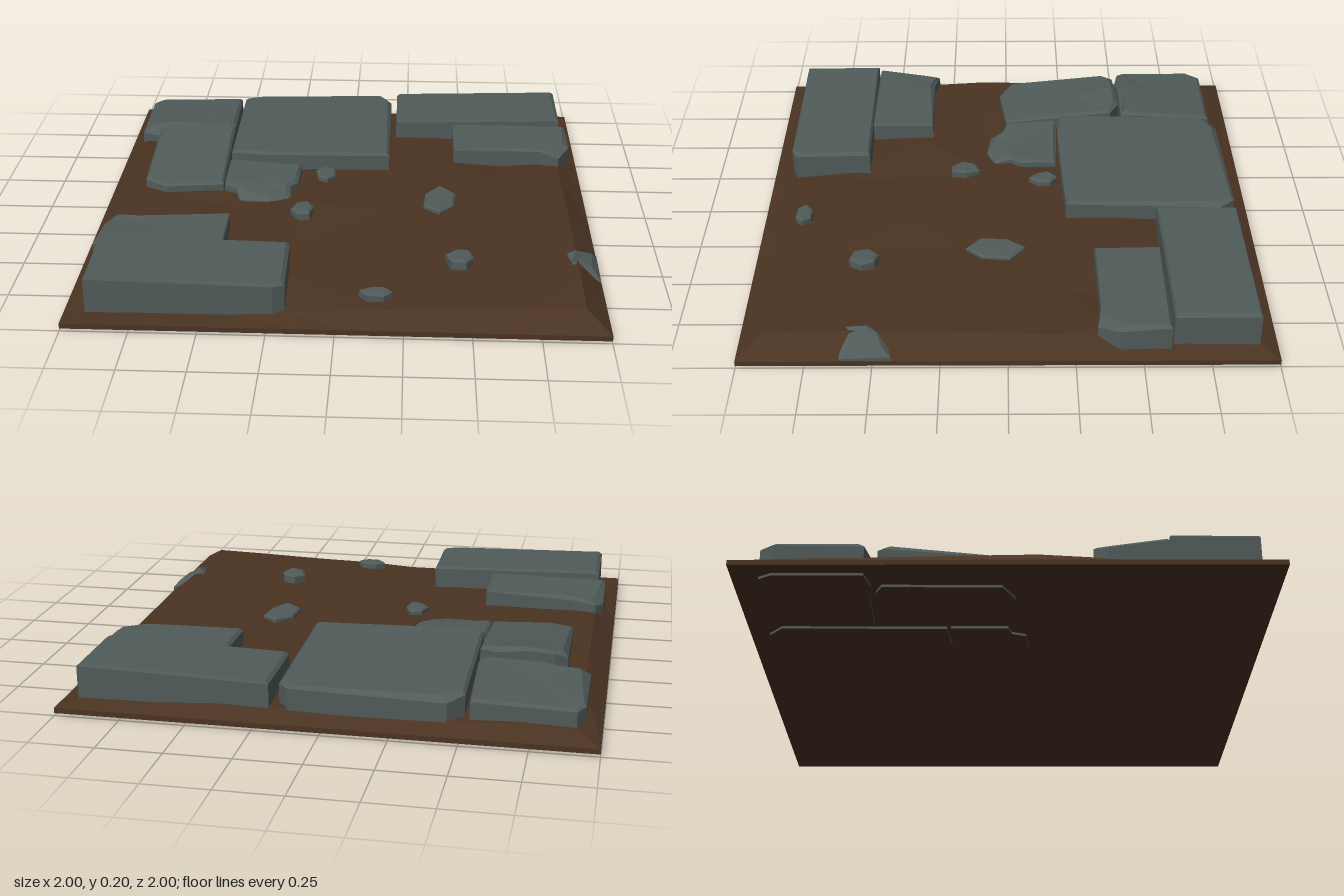
import * as THREE from 'three';

const stoneMat = new THREE.MeshStandardMaterial({ color: 0x505b59 });
stoneMat.name = 'slate grey';
const soilMat = new THREE.MeshStandardMaterial({ color: 0x4a3322 });
soilMat.name = 'brown earth';

// small seeded generator, 0..1
function seeded(seed) {
  let s = seed;
  return () => (s = (s * 16807) % 2147483647) / 2147483647;
}

// faceted mesh from a flat list of triangle corners
function facetMesh(name, corners, material) {
  const geo = new THREE.BufferGeometry().setFromPoints(corners);
  geo.computeVertexNormals();
  const mesh = new THREE.Mesh(geo, material);
  mesh.name = name;
  return mesh;
}

// Stone shell, open underneath: outline of [x, z, top, inset?] clockwise from above
function stone(name, outline, base, bevel = 0.012) {
  const n = outline.length;
  const cx = outline.reduce((a, p) => a + p[0], 0) / n;
  const cz = outline.reduce((a, p) => a + p[1], 0) / n;
  const ring = (level) => outline.map(([x, z, top, inset = bevel]) => {
    const d = Math.hypot(cx - x, cz - z);
    const k = level === 2 ? inset * 1.3 / d : 0;
    const y = level === 0 ? base : level === 1 ? top - inset * 0.9 : top;
    return new THREE.Vector3(x + (cx - x) * k, y, z + (cz - z) * k);
  });
  const rings = [ring(0), ring(1), ring(2)];
  const centre = new THREE.Vector3(cx, rings[2].reduce((a, p) => a + p.y, 0) / n, cz);
  const tris = [];
  for (let i = 0; i < n; i++) {
    const j = (i + 1) % n;
    for (let l = 0; l < 2; l++) {
      const a = rings[l], b = rings[l + 1];
      tris.push(a[i], b[i], b[j], a[i], b[j], a[j]);
    }
    tris.push(centre, rings[2][j], rings[2][i]);
  }
  return facetMesh(name, tris, stoneMat);
}

// Uneven earth: heights in hundredths on a coarse grid, thin flat rim at the edge
function earth() {
  const lines = [-1, -0.92, -0.65, -0.4, -0.15, 0.12, 0.38, 0.65, 0.91, 1];
  const heights = [
    [3, 3, 3, 3, 3, 3, 3, 3, 3, 3],
    [3, 6, 7, 6, 5, 6, 7, 6, 5, 3],
    [3, 8, 8, 8, 8, 8, 8, 7, 6, 3],
    [3, 8, 8, 8, 8, 9, 8, 7, 7, 3],
    [3, 9, 9, 9, 9, 9, 8, 8, 8, 3],
    [3, 9, 9, 8, 9, 8, 8, 9, 9.5, 3],
    [3, 8, 8, 8, 7, 8, 7, 8, 9.5, 3],
    [3, 6, 7, 7, 7, 8, 7.5, 8, 10, 3],
    [3, 4, 4, 4, 5, 7, 8, 8, 9, 3],
    [3, 3, 3, 3, 3, 3, 3, 3, 3, 3],
  ];
  const rand = seeded(71), last = lines.length - 1;
  const pts = heights.map((row, r) => row.map((h, c) => {
    const slideX = c > 1 && c < last - 1 ? (rand() - 0.5) * 0.14 : 0;
    const slideZ = r > 1 && r < last - 1 ? (rand() - 0.5) * 0.14 : 0;
    const rim = r === 0 || c === 0 || r === last || c === last;
    const bump = rim ? 0 : (rand() - 0.5) * 0.012;
    return new THREE.Vector3(lines[c] + slideX, h / 100 + bump, lines[r] + slideZ);
  }));
  const tris = [];
  for (let r = 0; r < last; r++) {
    for (let c = 0; c < last; c++) {
      const a = pts[r][c], b = pts[r][c + 1], d = pts[r + 1][c], e = pts[r + 1][c + 1];
      if (rand() < 0.5) tris.push(a, d, e, a, e, b);
      else tris.push(a, d, b, b, d, e);
    }
  }
  return facetMesh('earthSurface', tris, soilMat);
}

export function createModel() {
  const model = new THREE.Group();
  model.name = 'brokenPaving';

  // thin earth base under the uneven surface
  const base = new THREE.Mesh(new THREE.BoxGeometry(2, 0.02, 2), soilMat);
  base.name = 'earthBase';
  base.position.y = 0.02;
  model.add(base, earth());

  // paving slabs
  const slabs = new THREE.Group();
  slabs.name = 'pavingSlabs';
  slabs.add(
    stone('largeSlab', [[-0.51, -0.87, 0.155], [-0.45, -0.925, 0.15, 0.025], [0.13, -0.93, 0.155],
      [0.175, -0.87, 0.155, 0.02], [0.175, -0.24, 0.165], [-0.05, -0.23, 0.167], [-0.36, -0.22, 0.17],
      [-0.505, -0.235, 0.17]], 0),
    stone('backCornerSlab', [[-0.94, -0.85, 0.135], [-0.91, -0.9, 0.13], [-0.53, -0.9, 0.14],
      [-0.52, -0.55, 0.165], [-0.53, -0.51, 0.165, 0.02], [-0.77, -0.51, 0.165, 0.025],
      [-0.85, -0.5, 0.16, 0.05], [-0.94, -0.52, 0.15, 0.035]], 0),
    stone('tiltedSlab', [[-0.85, -0.46, 0.182, 0.025], [-0.8, -0.485, 0.188], [-0.7, -0.49, 0.197],
      [-0.58, -0.5, 0.195, 0.02], [-0.515, -0.46, 0.182], [-0.515, 0, 0.13], [-0.75, 0.03, 0.13],
      [-0.845, -0.02, 0.135]], 0),
    stone('chippedSlab', [[-0.51, -0.22, 0.14], [-0.2, -0.21, 0.125], [-0.205, -0.05, 0.12],
      [-0.235, -0.02, 0.12], [-0.23, 0.06, 0.105, 0.025], [-0.32, 0.085, 0.105, 0.02],
      [-0.44, 0.07, 0.11, 0.03], [-0.46, 0.015, 0.12], [-0.51, 0.0, 0.13]], 0),
    stone('backLongSlab', [[0.2, -0.93, 0.165], [0.93, -0.93, 0.185], [0.93, -0.61, 0.185],
      [0.2, -0.605, 0.165]], 0.035),
    stone('backShortSlab', [[0.455, -0.6, 0.155], [0.955, -0.6, 0.155], [0.96, -0.41, 0.15, 0.02],
      [0.91, -0.33, 0.145, 0.035], [0.83, -0.345, 0.15], [0.455, -0.34, 0.15]], 0.035),
    stone('frontLongSlab', [[-0.92, 0.59, 0.183], [-0.19, 0.585, 0.168], [-0.185, 0.9, 0.165],
      [-0.23, 0.92, 0.166], [-0.92, 0.92, 0.18]], 0.035),
    stone('frontShortSlab', [[-0.95, 0.36, 0.135, 0.03], [-0.92, 0.31, 0.135, 0.02],
      [-0.83, 0.33, 0.145, 0.02], [-0.45, 0.325, 0.15, 0.005], [-0.45, 0.59, 0.15, 0.005],
      [-0.95, 0.585, 0.15]], 0.035),
  );
  model.add(slabs);

  // loose pebbles: [x, z, half width, half depth, top, turn]
  const pebbles = new THREE.Group();
  pebbles.name = 'loosePebbles';
  const spots = [
    [-0.09, -0.15, 0.048, 0.062, 0.115, 0.4], [-0.17, 0.18, 0.05, 0.068, 0.115, 0.9],
    [0.39, 0.05, 0.075, 0.115, 0.1, 0.52], [0.465, 0.56, 0.06, 0.062, 0.112, 0.2],
    [0.15, 0.83, 0.065, 0.04, 0.105, 0.1],
  ];
  const rand = seeded(19);
  for (const [x, z, w, d, top, turn] of spots) {
    const outline = [];
    for (let i = 0; i < 6; i++) {
      const a = turn + i * Math.PI / 3, k = 0.85 + rand() * 0.2;
      outline.push([x + Math.cos(a) * w * k, z + Math.sin(a) * d * k, top + (rand() - 0.5) * 0.008]);
    }
    pebbles.add(stone('pebble', outline, 0.05, 0.008));
  }
  // pointed rock on the left edge
  pebbles.add(stone('edgeRock', [[0.9, 0.45, 0.1, 0.03], [0.998, 0.43, 0.075, 0.03],
    [0.998, 0.62, 0.075, 0.04], [0.87, 0.625, 0.105, 0.03], [0.875, 0.51, 0.122, 0.025]], 0.03));
  model.add(pebbles);

  return model;
}
